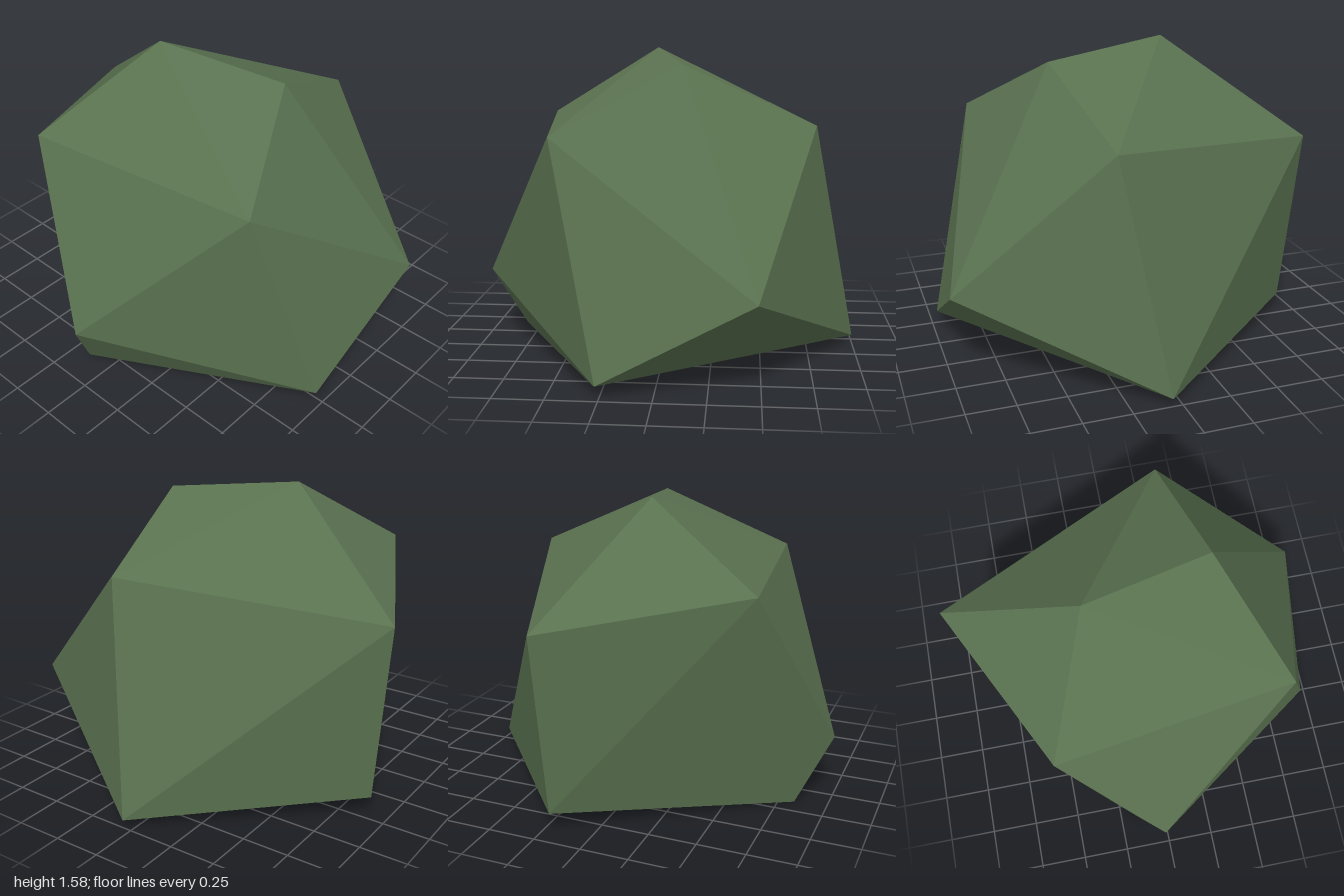
import * as THREE from 'three';
import { ConvexGeometry } from 'three/addons/geometries/ConvexGeometry.js';

// Corners of the boulder, listed from the crown down to the base
const corners = [
  // crown
  [-0.08, 1.58, -0.28], [0.10, 1.51, 0.39],
  // shoulders
  [0.77, 1.20, 0.25], [-0.71, 1.20, -0.54], [-0.52, 1.18, 0.70], [0.24, 1.04, -1.00],
  // belly
  [0.48, 0.47, 1.00], [-1.00, 0.35, -0.03],
  // base
  [0.21, 0.10, -0.91], [-0.27, 0.06, 0.97], [1.00, 0.04, 0.05], [-0.83, 0.00, -0.15],
];

export function createModel() {
  const mossGreen = new THREE.MeshStandardMaterial({ color: 0x5a7250, flatShading: true });
  mossGreen.name = 'mossGreen';

  // Faceted boulder wrapped tightly around its corners
  const points = corners.map((c) => new THREE.Vector3(...c));
  const boulder = new THREE.Mesh(new ConvexGeometry(points), mossGreen);
  boulder.name = 'boulder';

  const group = new THREE.Group();
  group.name = 'rock';
  group.add(boulder);
  return group;
}
